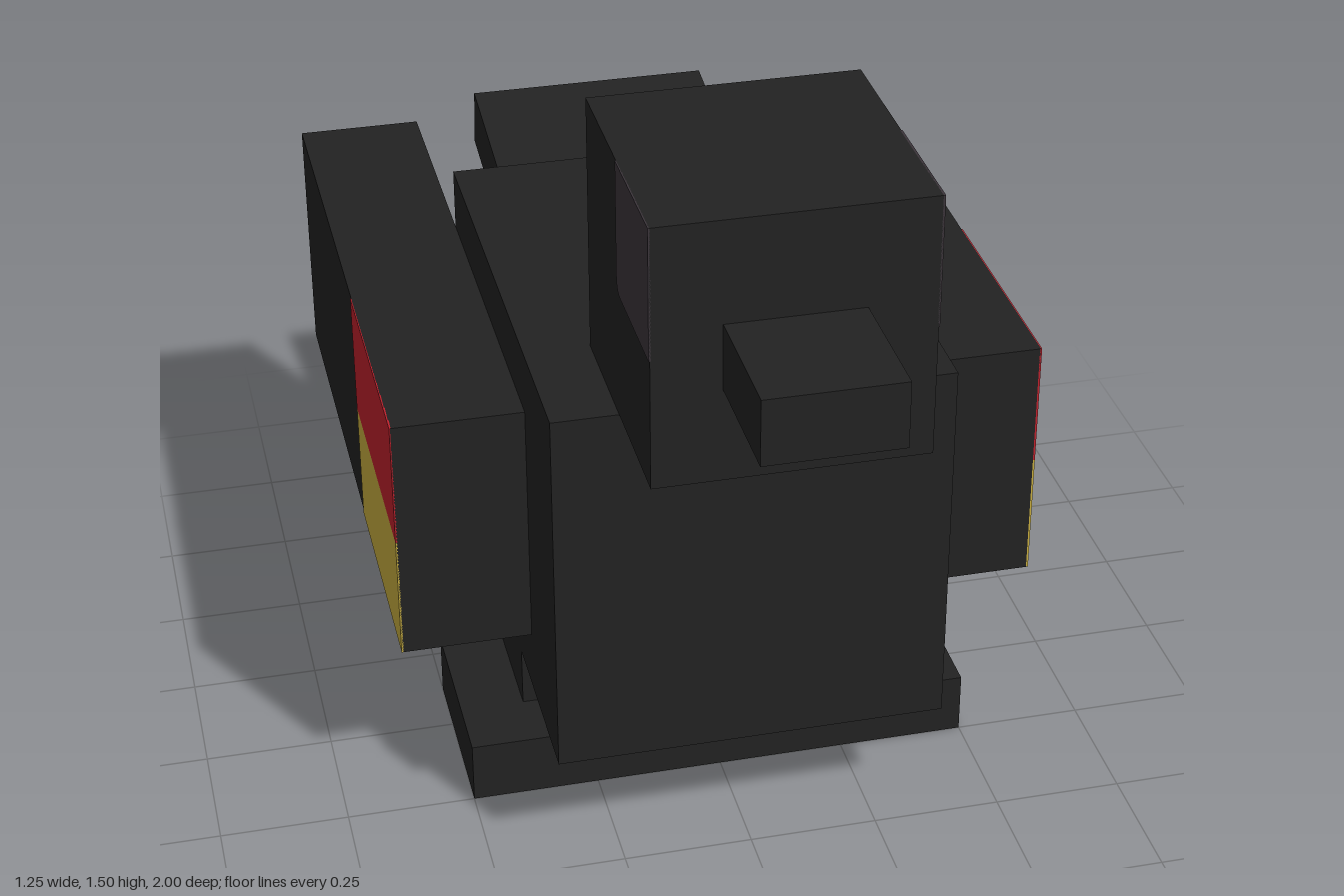
import * as THREE from 'three';

export function createModel() {
  const model = new THREE.Group();
  model.name = 'blockBird';

  const material = (name, color) => {
    const m = new THREE.MeshStandardMaterial({ color });
    m.name = name;
    return m;
  };
  const black = material('black feathers', 0x222222);
  const red = material('red shoulder', 0xc0212d);
  const yellow = material('yellow shoulder', 0xc9af40);
  const grey = material('eye grey', 0x3c353b);

  // Box given by its [min, max] range on each axis
  const box = (name, mat, [x0, x1], [y0, y1], [z0, z1], parent = model) => {
    const mesh = new THREE.Mesh(new THREE.BoxGeometry(x1 - x0, y1 - y0, z1 - z0), mat);
    mesh.name = name;
    mesh.position.set((x0 + x1) / 2, (y0 + y1) / 2, (z0 + z1) / 2);
    parent.add(mesh);
    return mesh;
  };

  // Central parts
  box('body', black, [-0.375, 0.375], [0.25, 1], [-0.5, 0.5]);
  box('head', black, [-0.25, 0.25], [1, 1.5], [0.25, 0.75]);
  box('beak', black, [-0.125, 0.125], [1.18, 1.305], [0.75, 1]);
  box('feet', black, [-0.5, 0.5], [0, 0.125], [-0.125, 0.25]);

  // Tail, hinged at the back of the body and tilted up
  const tail = new THREE.Group();
  tail.name = 'tail';
  tail.position.set(0, 0.73, -0.505);
  tail.rotation.x = THREE.MathUtils.degToRad(10);
  box('tailFeathers', black, [-0.25, 0.25], [0, 0.125], [-0.5, 0], tail);
  model.add(tail);

  // Eye patch outline in (z, y), with the lower back corner rounded
  const eye = new THREE.Shape();
  eye.moveTo(0.75, 1.25);
  eye.lineTo(0.75, 1.5);
  eye.lineTo(0.5, 1.5);
  eye.lineTo(0.5, 1.28);
  eye.quadraticCurveTo(0.5, 1.25, 0.53, 1.25);
  const plate = 0.004;
  const eyeGeometry = new THREE.ExtrudeGeometry(eye, { depth: plate, bevelEnabled: false, curveSegments: 5 })
    .rotateY(-Math.PI / 2).translate(plate / 2, 0, 0);

  // Paired parts
  for (const side of [1, -1]) {
    const label = side > 0 ? 'left' : 'right';
    const span = (a, b) => (side > 0 ? [a, b] : [-b, -a]);
    box(label + 'Leg', black, span(0.125, 0.375), [0.125, 0.25], [-0.125, 0.125]);
    box(label + 'Wing', black, span(0.375, 0.625), [0.375, 0.875], [-1, 0.25]);
    box(label + 'RedPatch', red, span(0.623, 0.627), [0.625, 0.875], [-0.25, 0.25]);
    box(label + 'YellowPatch', yellow, span(0.623, 0.627), [0.375, 0.625], [-0.25, 0.25]);
    const patch = new THREE.Mesh(eyeGeometry, grey);
    patch.name = label + 'Eye';
    patch.position.x = side * 0.25;
    model.add(patch);
  }

  return model;
}
